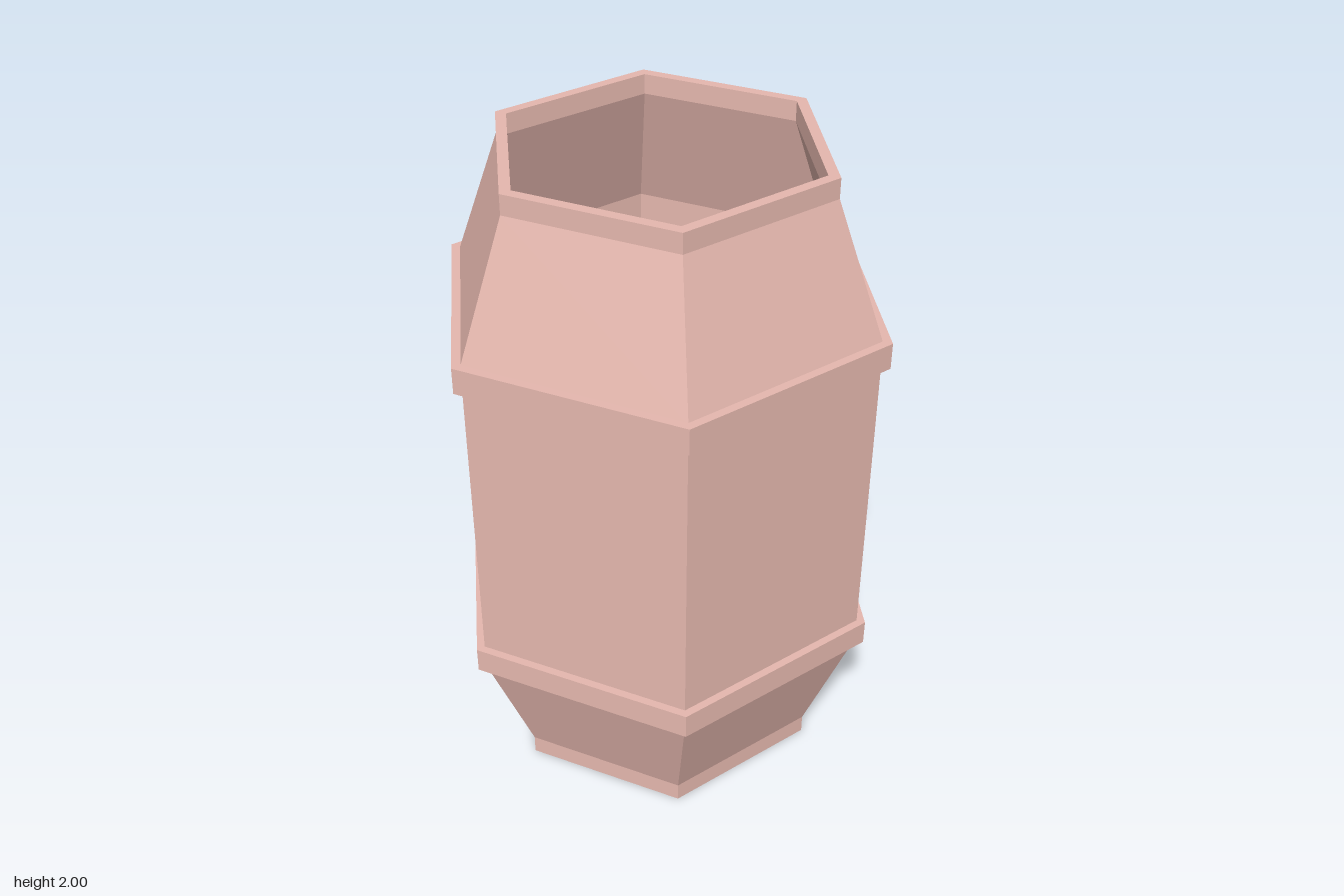
import * as THREE from 'three';

export function createModel() {
  const group = new THREE.Group();
  const material = new THREE.MeshStandardMaterial({ color: 0xe6b8af, flatShading: true });

  // Six-sided solid from a [radius, height] profile, corners on the z axis
  function addHex(name, profile) {
    const points = profile.map(([r, y]) => new THREE.Vector2(r, y));
    const mesh = new THREE.Mesh(new THREE.LatheGeometry(points, 6), material);
    mesh.name = name;
    group.add(mesh);
  }

  // Open barrel: recessed underside, outer wall, rim, inner wall, floor
  addHex('barrelShell', [
    [0, 0.06], [0.47, 0.06], [0.47, 0], [0.505, 0],
    [0.505, 0.06], [0.656, 0.46], [0.656, 1.54], [0.505, 1.94],
    [0.505, 2], [0.47, 2],
    [0.47, 1.94], [0.622, 1.54], [0.622, 0.46], [0.47, 0.07], [0, 0.07],
  ]);

  // Raised bands at the shoulders
  for (const [name, y] of [['lowerBand', 0.46], ['upperBand', 1.465]]) {
    addHex(name, [
      [0.64, y], [0.683, y], [0.683, y + 0.08], [0.64, y + 0.08], [0.64, y],
    ]);
  }

  return group;
}
